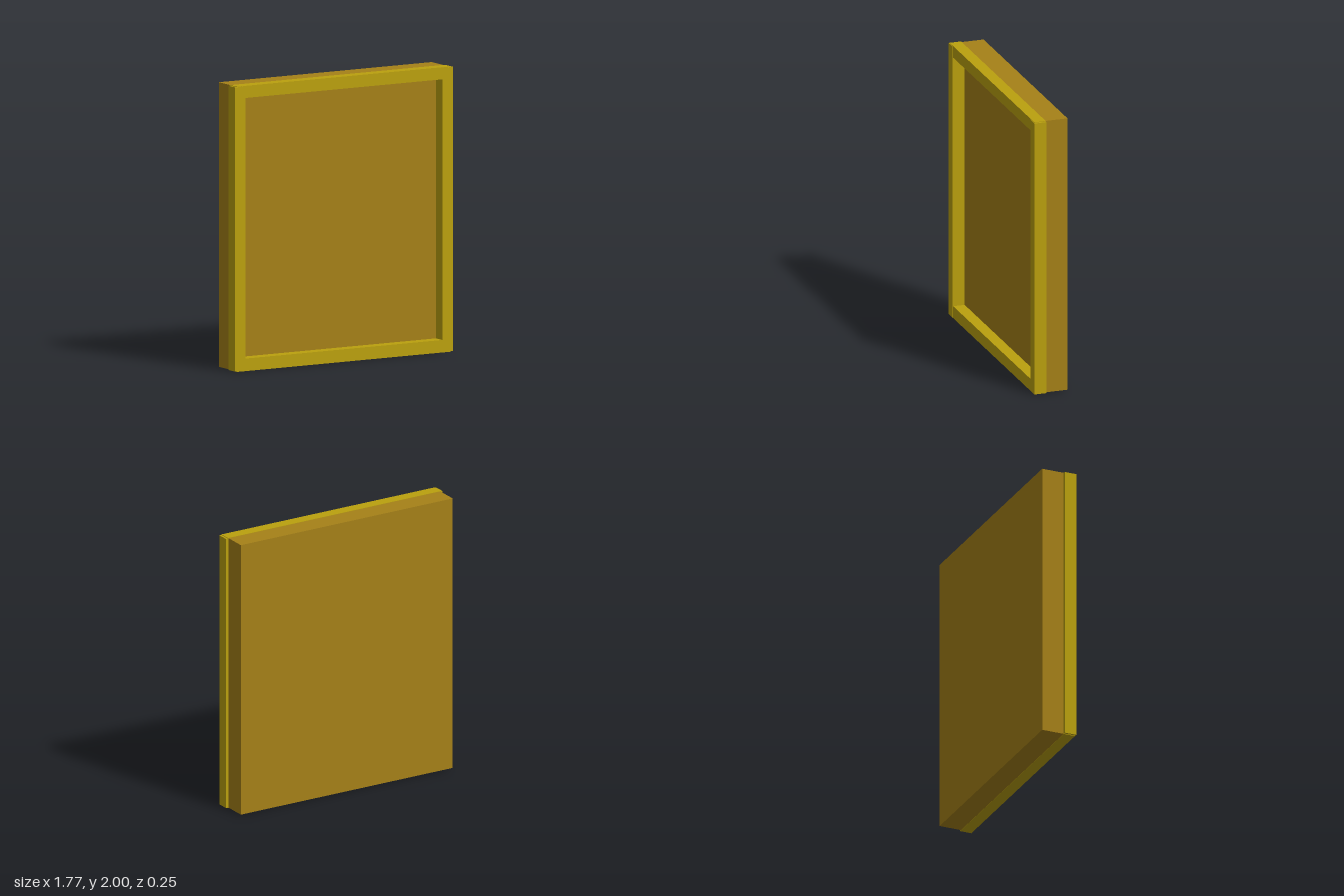
import * as THREE from 'three';

export function createModel() {
  const group = new THREE.Group();
  const frameMat = new THREE.MeshStandardMaterial({ color: 0xbba10e });
  const panelMat = new THREE.MeshStandardMaterial({ color: 0xa68118 });

  // Box given by its extents along each axis
  function block(name, mat, [x0, x1], [y0, y1], [z0, z1]) {
    const mesh = new THREE.Mesh(new THREE.BoxGeometry(x1 - x0, y1 - y0, z1 - z0), mat);
    mesh.position.set((x0 + x1) / 2, (y0 + y1) / 2, (z0 + z1) / 2);
    mesh.name = name;
    group.add(mesh);
  }

  // Thick backing slab
  block('panel', panelMat, [-0.865, 0.865], [0.003, 1.998], [-0.125, 0.037]);

  // Upright frame members, overhanging the slab at the sides
  block('leftStile', frameMat, [0.8, 0.885], [0.004, 1.996], [0.037, 0.125]);
  block('rightStile', frameMat, [-0.885, -0.8], [0.004, 1.996], [0.037, 0.125]);

  // Cross members, set a hair behind the uprights
  block('bottomRail', frameMat, [-0.87, 0.87], [0, 0.088], [0.037, 0.121]);
  block('topRail', frameMat, [-0.87, 0.87], [1.915, 2], [0.037, 0.121]);

  return group;
}
